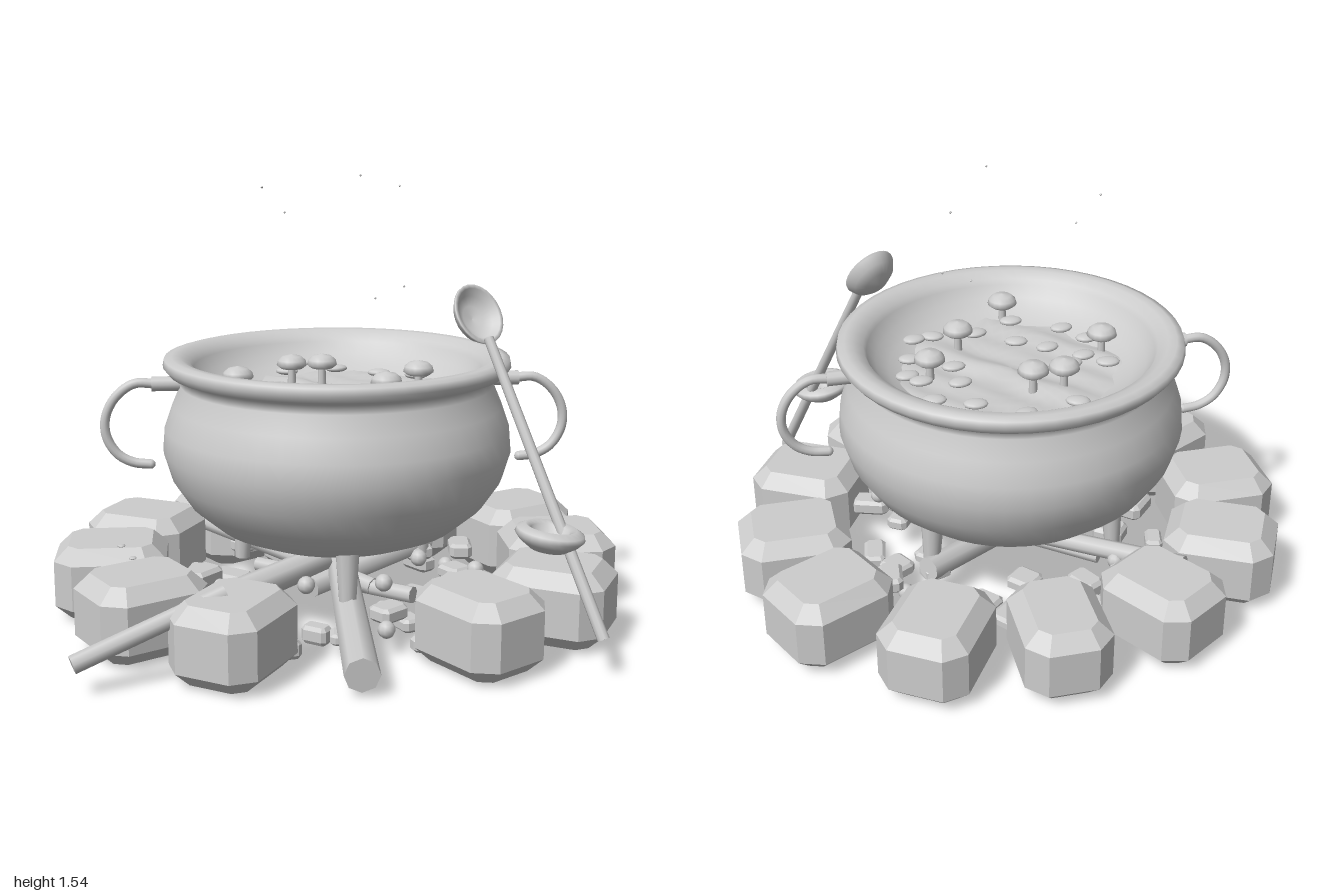
import * as THREE from 'three';

const V = (x, y, z) => new THREE.Vector3(x, y, z);
const clay = new THREE.MeshStandardMaterial({ color: 0xcccccc, side: THREE.DoubleSide });
clay.name = 'lightGrey';

let seed = 7;
const rnd = () => (seed = (seed * 16807) % 2147483647) / 2147483647;

export function createModel() {
  const model = new THREE.Group();
  model.name = 'campfireCauldron';

  const add = (name, geo, pos = [0, 0, 0], parent = model) => {
    const m = new THREE.Mesh(geo, clay);
    m.name = name;
    m.position.set(...pos);
    parent.add(m);
    return m;
  };
  const lathe = (pts, seg = 40) =>
    new THREE.LatheGeometry(pts.map(p => new THREE.Vector2(...p)), seg);
  // Straight rod from a to b with radius ra at a and rb at b
  const rod = (name, a, b, ra, rb = ra, seg = 10) => {
    const m = add(name, new THREE.CylinderGeometry(rb, ra, a.distanceTo(b), seg));
    m.position.copy(a).lerp(b, 0.5);
    m.quaternion.setFromUnitVectors(V(0, 1, 0), b.clone().sub(a).normalize());
  };

  // Chamfered block with cut corners, long side along x, standing on y = 0
  const block = (l, w, h, cut, bevel) => {
    const x = l / 2, y = w / 2;
    const s = new THREE.Shape([
      [x, cut - y], [x, y - cut], [x - cut, y], [cut - x, y],
      [-x, y - cut], [-x, cut - y], [cut - x, -y], [x - cut, -y],
    ].map(p => new THREE.Vector2(...p)));
    return new THREE.ExtrudeGeometry(s, {
      depth: h - 2 * bevel, bevelEnabled: true, bevelSegments: 1,
      bevelThickness: bevel, bevelSize: bevel, bevelOffset: -bevel,
    }).rotateX(-Math.PI / 2).translate(0, bevel, 0);
  };

  // Ring of stones with a gap at the front: angle and outer radius
  for (const [deg, outer] of [
    [0, 1], [29, 1], [57, 0.935], [121.5, 0.935], [151, 0.98], [180, 1],
    [207.5, 0.98], [237.5, 0.92], [270, 0.895], [302.5, 0.935], [333.5, 1.005],
  ]) {
    const a = deg * Math.PI / 180, c = Math.cos(a), s = Math.sin(a);
    const l = 0.39, r = outer - l / 2;
    const stone = add('hearthStone', block(l, 0.3 + 0.04 * Math.abs(c), 0.262, 0.065, 0.05), [r * c, 0.016, r * s]);
    stone.rotation.y = -a;
  }

  // Cauldron, outside then over the rim and down the inside
  add('cauldron', lathe([
    [0, 0.27], [0.2, 0.27], [0.32, 0.285], [0.43, 0.33], [0.525, 0.41], [0.585, 0.5],
    [0.615, 0.6], [0.608, 0.68], [0.58, 0.76], [0.55, 0.83], [0.55, 0.86],
    [0.59, 0.875], [0.61, 0.9], [0.605, 0.925], [0.58, 0.932], [0.55, 0.93], [0.515, 0.91],
    [0.505, 0.89], [0.475, 0.85], [0.43, 0.815], [0.38, 0.79], [0.3, 0.76], [0, 0.72],
  ], 48));

  // Rippled soup whose edge meets the inside unevenly
  const soup = new THREE.RingGeometry(0.001, 0.43, 48, 10).rotateX(-Math.PI / 2);
  const p = soup.attributes.position;
  for (let i = 0; i < p.count; i++) {
    const x = p.getX(i), z = p.getZ(i);
    p.setY(i, 0.79 + 0.009 * Math.sin(x * 17 + 1) * Math.cos(z * 15) + 0.007 * Math.sin(x * 31 - z * 27));
  }
  soup.computeVertexNormals();
  add('soup', soup);

  // Mushrooms and floating slices
  const cap = lathe([[0, -0.008], [0.04, -0.012], [0.055, 0], [0.05, 0.018], [0.034, 0.032], [0, 0.04]], 16);
  const stem = new THREE.CylinderGeometry(0.013, 0.016, 0.08, 8);
  for (const [x, z] of [[-0.15, -0.165], [-0.04, -0.165], [0.29, 0], [-0.35, 0.055], [0.15, 0.2], [-0.06, 0.395]]) {
    const g = new THREE.Group();
    g.name = 'mushroom';
    g.position.set(x, 0.862, z);
    add('mushroomCap', cap, [0, 0, 0], g);
    add('mushroomStem', stem, [0, -0.04, 0], g);
    model.add(g);
  }
  const slice = new THREE.SphereGeometry(1, 14, 8).scale(0.043, 0.014, 0.032);
  for (const [x, z] of [
    [-0.16, -0.31], [0.03, -0.35], [0.18, -0.25], [0.31, -0.19], [0.2, -0.09], [0.33, -0.05], [-0.34, -0.06],
    [-0.21, -0.04], [-0.27, 0.01], [0.2, 0.03], [0.37, 0], [-0.32, 0.14], [-0.16, 0.1], [-0.06, 0.17],
    [0.34, 0.12], [-0.25, 0.24], [0.07, 0.27], [0.23, 0.28], [0.3, 0.27], [-0.08, 0.34],
  ]) add('floatingSlice', slice, [x, 0.812, z]).rotation.y = (rnd() - 0.5) * 0.8;

  // Side handles
  for (const s of [-1, 1]) {
    rod('handleSocket', V(s * 0.53, 0.833, 0), V(s * 0.65, 0.833, 0), 0.026);
    const path = new THREE.CatmullRomCurve3([
      [0.63, 0.833], [0.71, 0.835], [0.775, 0.79], [0.812, 0.72], [0.812, 0.65], [0.775, 0.585], [0.72, 0.553], [0.66, 0.545],
    ].map(([x, y]) => V(s * x, y, 0)));
    add('handle', new THREE.TubeGeometry(path, 30, 0.017, 10));
    add('handleTip', new THREE.SphereGeometry(0.017, 10, 6), [s * 0.66, 0.545, 0]);
  }

  // Three legs under the cauldron
  for (const a of [90, 210, 330]) {
    const c = Math.cos(a * Math.PI / 180), s = Math.sin(a * Math.PI / 180);
    rod('cauldronLeg', V(0.39 * c, 0.13, 0.39 * s), V(0.38 * c, 0.34, 0.38 * s), 0.028, 0.042);
  }

  // Spoon leaning against the cauldron
  const foot = V(0.77, 0.14, 0.77), neck = V(0.475, 1.03, 0.315);
  rod('spoonHandle', foot, neck, 0.02, 0.017);
  const along = neck.clone().sub(foot).normalize();
  const facing = V(0.35, 0.5, 0.77);
  facing.addScaledVector(along, -facing.dot(along)).normalize();
  const spoon = add('spoonBowl', lathe([
    [0, -0.06], [0.045, -0.052], [0.075, -0.03], [0.09, 0], [0.09, 0.008],
    [0.078, 0.008], [0.064, -0.018], [0.038, -0.034], [0, -0.04],
  ], 24).scale(1, 1, 1.2), [0.45, 1.1, 0.255]);
  spoon.quaternion.setFromRotationMatrix(
    new THREE.Matrix4().makeBasis(facing.clone().cross(along), facing, along));

  // Small dish hanging on the spoon handle
  const dish = add('dish', lathe([
    [0, -0.042], [0.06, -0.042], [0.095, -0.018], [0.112, 0.002], [0.108, 0.018],
    [0.082, 0.032], [0.062, 0.022], [0.048, -0.015], [0, -0.022],
  ], 24), [0.615, 0.45, 0.66]);
  dish.rotation.z = -0.13;

  // Firewood
  rod('looseStick', V(-0.88, 0.115, 0.76), V(-0.41, 0.275, 0.61), 0.03, 0.03, 8);
  for (const [x1, y1, z1, x2, y2, z2, r] of [
    [0, 0.085, 0.85, 0.02, 0.15, -0.1, 0.058],
    [-0.52, 0.12, 0.36, -0.05, 0.18, 0, 0.055],
    [-0.51, 0.2, -0.49, 0.12, 0.1, 0.1, 0.036],
    [0.36, 0.16, -0.25, -0.1, 0.1, 0.08, 0.045],
    [0.25, 0.1, 0.2, -0.28, 0.09, -0.22, 0.03],
  ]) rod('log', V(x1, y1, z1), V(x2, y2, z2), r, r * 0.9, 8);

  // Coals and pebbles scattered around the fire pit
  const coal = block(0.12, 0.085, 0.055, 0.016, 0.012);
  const pebble = new THREE.SphereGeometry(0.03, 10, 7);
  for (let i = 0; i < 30; i++) {
    const a = i * 2.4, r = 0.26 + 0.3 * Math.sqrt((i + 0.5) / 30);
    const c = add('coal', coal, [r * Math.cos(a), 0.01 + 0.09 * (i % 3) / 2, r * Math.sin(a)]);
    c.rotation.y = rnd() * 6;
    c.scale.set(0.7 + 0.5 * rnd(), 0.7 + 0.5 * rnd(), 0.7 + 0.6 * rnd());
    if (i % 3 === 0) add('pebble', pebble, [r * Math.cos(a + 0.3), 0.06 + 0.15 * rnd(), r * Math.sin(a + 0.3)]);
  }
  for (const x of [-0.14, 0.12]) add('pebble', pebble, [x, 0.22, 0.4]);

  // Floating sparks and two drifting flakes
  const spark = new THREE.OctahedronGeometry(0.005);
  for (const q of [[-0.25, 1.5, -0.2], [-0.17, 1.41, -0.2], [0.25, 1.5, -0.24], [0.08, 1.55, 0.01], [0.13, 1.13, 0.04], [0.23, 1.17, 0.04]])
    add('spark', spark, q);
  const flake = new THREE.SphereGeometry(1, 8, 5).scale(0.012, 0.004, 0.015);
  for (const q of [[-0.68, 0.487, 0.87], [-0.72, 0.487, 0.75]]) add('flake', flake, q);

  return model;
}
